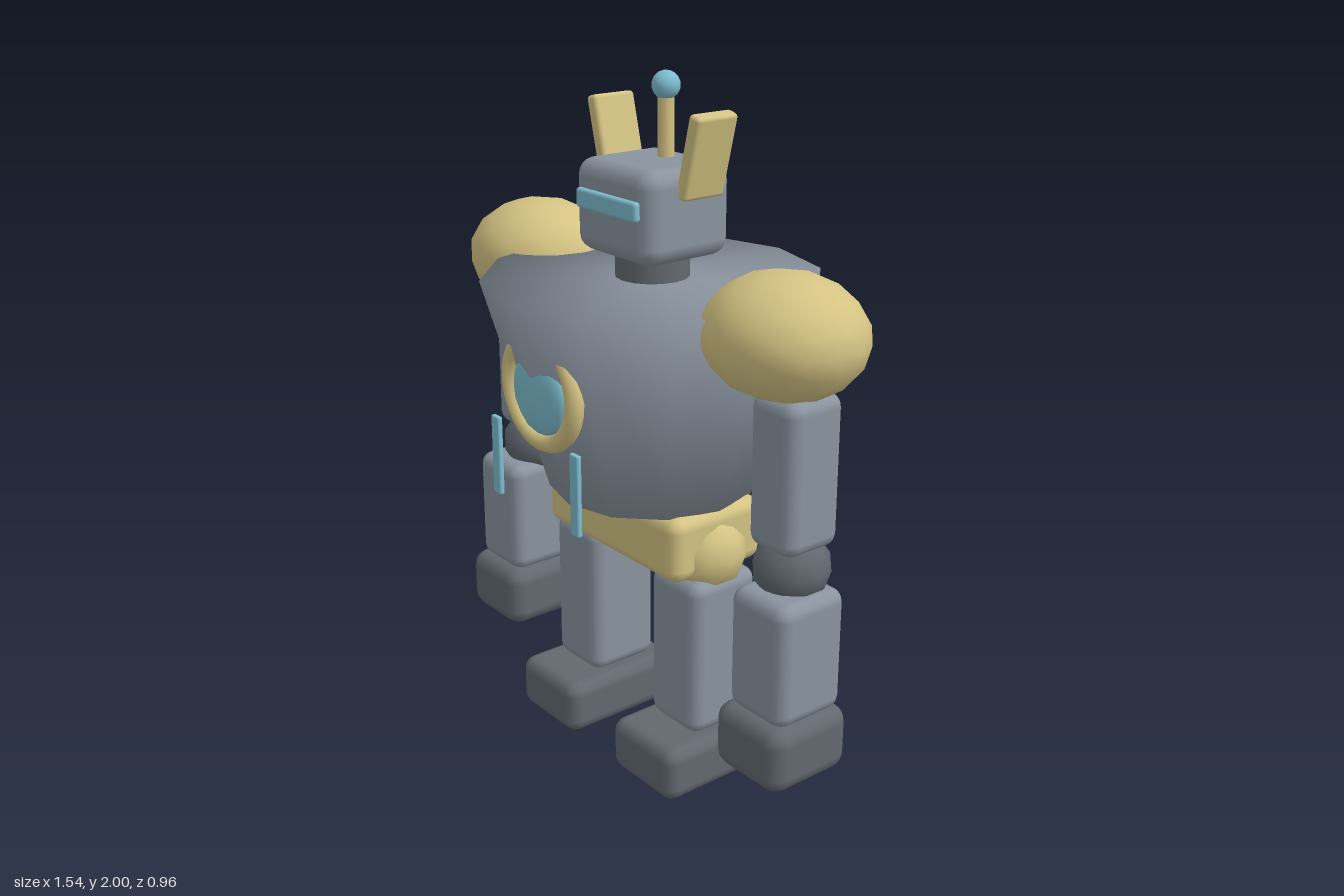
import * as THREE from 'three';
import { RoundedBoxGeometry } from 'three/addons/geometries/RoundedBoxGeometry.js';

const material = (name, color) => {
  const m = new THREE.MeshStandardMaterial({ color });
  m.name = name;
  return m;
};

export function createModel() {
  const model = new THREE.Group();
  model.name = 'robot';
  const steel = material('steel grey', 0x8a939f);
  const dark = material('dark grey', 0x616970);
  const gold = material('pale gold', 0xd4c383);
  const blue = material('light blue', 0x7dbdcf);

  const add = (name, geometry, mat, x, y, z) => {
    const mesh = new THREE.Mesh(geometry, mat);
    mesh.name = name;
    mesh.position.set(x, y, z);
    model.add(mesh);
    return mesh;
  };
  // Rounded box given by centre, size and corner radius
  const box = (name, mat, [x, y, z], [w, h, d], r) =>
    add(name, new RoundedBoxGeometry(w, h, d, 2, r), mat, x, y, z);
  // Smooth low-poly ellipsoid given by centre and half sizes
  const ball = (name, mat, [x, y, z], size, detail) => {
    const mesh = add(name, new THREE.IcosahedronGeometry(1, detail), mat, x, y, z);
    mesh.scale.set(...size);
    return mesh;
  };

  // Torso: twelve-sided tapered tub with softly shaded rims
  const profile = [[0, 0.83], [0.3, 0.83], [0.48, 1.445], [0, 1.445]];
  add('torso', new THREE.LatheGeometry(profile.map(p => new THREE.Vector2(...p)), 12), steel, 0, 0, 0);

  // Chest ornament, partly sunk into the torso
  add('chestRing', new THREE.TorusGeometry(0.149, 0.027, 8, 32), gold, 0, 1.187, 0.38);
  ball('chestGem', blue, [0, 1.18, 0.385], [0.12, 0.12, 0.035], 2);

  // Head
  add('neck', new THREE.CylinderGeometry(0.105, 0.105, 0.15, 16), dark, 0, 1.455, 0);
  box('head', steel, [0, 1.64, 0], [0.335, 0.26, 0.3], 0.05);
  box('visor', blue, [0, 1.663, 0.152], [0.265, 0.055, 0.026], 0.01);
  add('antenna', new THREE.CylinderGeometry(0.023, 0.023, 0.2, 10), gold, 0, 1.85, -0.047);
  ball('antennaTip', blue, [0, 1.962, -0.047], [0.04, 0.04, 0.04], 2);

  // Pelvis
  box('pelvis', gold, [0, 0.737, 0], [0.61, 0.195, 0.33], 0.04);

  // Mirrored parts
  for (const s of [1, -1]) {
    const side = s > 0 ? 'left' : 'right';
    box(side + 'Ear', gold, [s * 0.195, 1.802, -0.027], [0.042, 0.235, 0.14], 0.012).rotation.z = -s * 0.25;
    box(side + 'ChestStrip', blue, [s * 0.188, 0.948, 0.408], [0.037, 0.235, 0.016], 0.005);

    // Arm
    ball(side + 'Shoulder', gold, [s * 0.54, 1.4, 0], [0.236, 0.168, 0.212], 2);
    box(side + 'UpperArm', steel, [s * 0.595, 1.05, 0], [0.17, 0.43, 0.19], 0.04);
    ball(side + 'Elbow', dark, [s * 0.595, 0.775, 0], [0.108, 0.108, 0.108], 1);
    box(side + 'Forearm', steel, [s * 0.615, 0.55, 0.03], [0.215, 0.36, 0.235], 0.04);
    box(side + 'Hand', dark, [s * 0.615, 0.285, 0.04], [0.26, 0.195, 0.28], 0.05);

    // Leg
    ball(side + 'Hip', gold, [s * 0.237, 0.69, 0], [0.122, 0.122, 0.122], 1);
    box(side + 'Leg', steel, [s * 0.235, 0.4, 0], [0.21, 0.48, 0.235], 0.04);
    box(side + 'Foot', dark, [s * 0.235, 0.082, 0.032], [0.28, 0.164, 0.405], 0.04);
  }
  return model;
}
